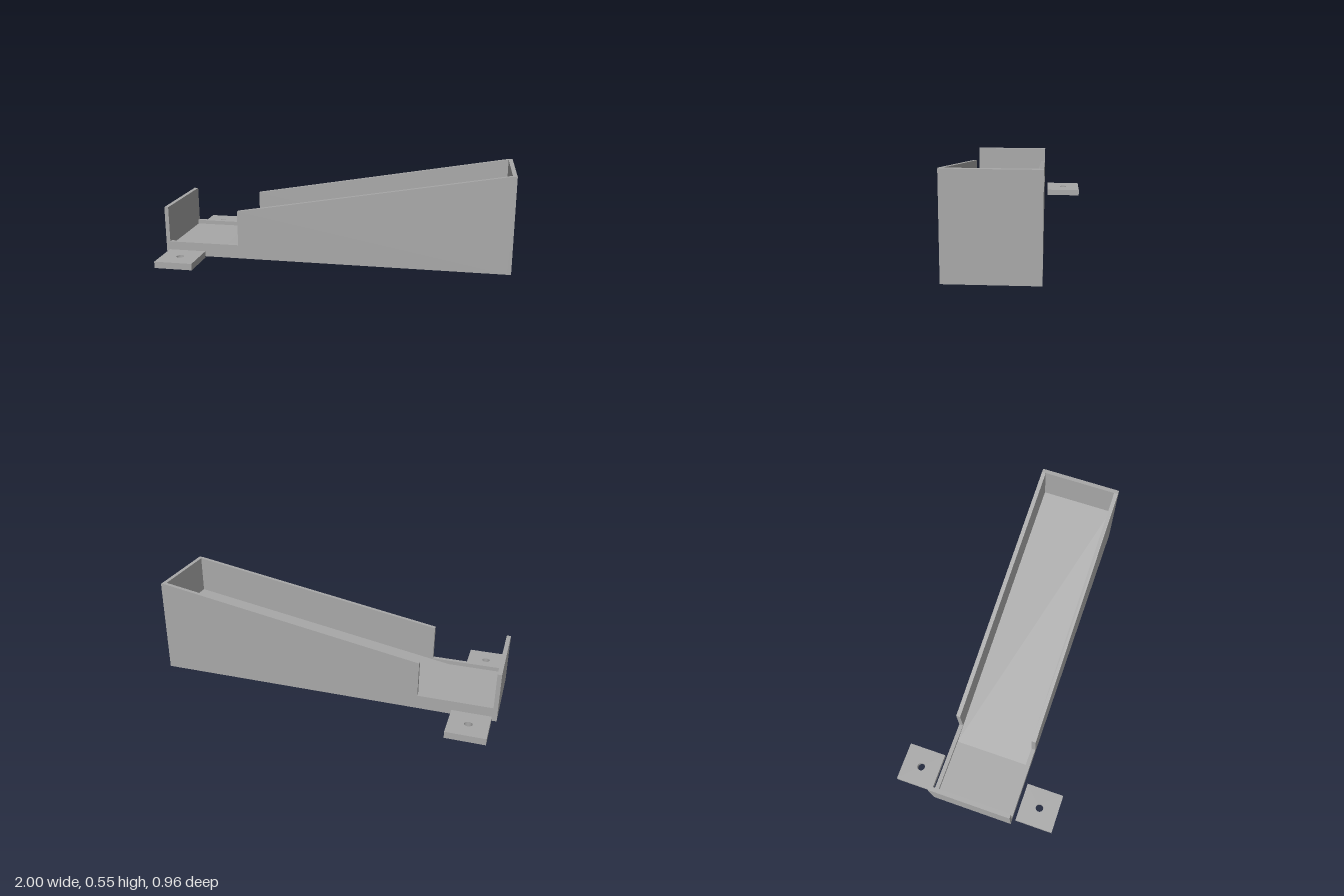
import * as THREE from 'three';

const HALF = 0.24;   // half width of the trough
const WALL = 0.024;  // wall thickness
const INNER = HALF - WALL;

// Side outline (x, y) extruded along z between z0 and z1
function sideExtrude(points, z0, z1) {
  const shape = new THREE.Shape(points.map(([x, y]) => new THREE.Vector2(x, y)));
  const geo = new THREE.ExtrudeGeometry(shape, { depth: z1 - z0, bevelEnabled: false });
  return geo.translate(0, 0, z0);
}

export function createModel() {
  const model = new THREE.Group();
  model.name = 'rampTrough';
  const grey = new THREE.MeshStandardMaterial({ color: 0xa8a8a8 });
  grey.name = 'plainGrey';

  const add = (name, geometry) => {
    const mesh = new THREE.Mesh(geometry, grey);
    mesh.name = name;
    model.add(mesh);
    return mesh;
  };

  const x0 = -1 + WALL, x1 = 1 - WALL;

  // Solid sloping floor that levels out into the tray
  add('slopingFloor', sideExtrude(
    [[x0, 0], [x1, 0], [x1, 0.337], [-0.655, 0.056], [x0, 0.056]], -INNER, INNER));

  // Side walls: low beside the tray, tall and sloping beside the ramp
  const wall = [[x0, 0], [x1, 0], [x1, 0.552], [-0.557, 0.284], [-0.557, 0.08], [x0, 0.08]];
  add('leftWall', sideExtrude(wall, INNER, HALF));
  add('rightWall', sideExtrude(wall, -HALF, -INNER));

  // End walls
  const endWall = (name, x, height) =>
    add(name, new THREE.BoxGeometry(WALL, height, HALF * 2).translate(x, height / 2, 0));
  endWall('tallEndWall', 1 - WALL / 2, 0.552);
  endWall('trayEndWall', -1 + WALL / 2, 0.29);

  // Mounting tabs, each with a round screw hole
  const tab = new THREE.Shape([
    [-0.11, -0.11], [0.11, -0.11], [0.11, 0.11], [-0.11, 0.11],
  ].map(([x, y]) => new THREE.Vector2(x, y)));
  const hole = new THREE.Path();
  hole.absarc(0, 0, 0.022, 0, Math.PI * 2, true);
  tab.holes.push(hole);
  for (const side of [1, -1]) {
    const geo = new THREE.ExtrudeGeometry(tab, { depth: 0.038, bevelEnabled: false, curveSegments: 24 });
    geo.rotateX(-Math.PI / 2);
    add(side > 0 ? 'frontTab' : 'backTab', geo).position.set(-0.863, 0, side * 0.37);
  }
  return model;
}
